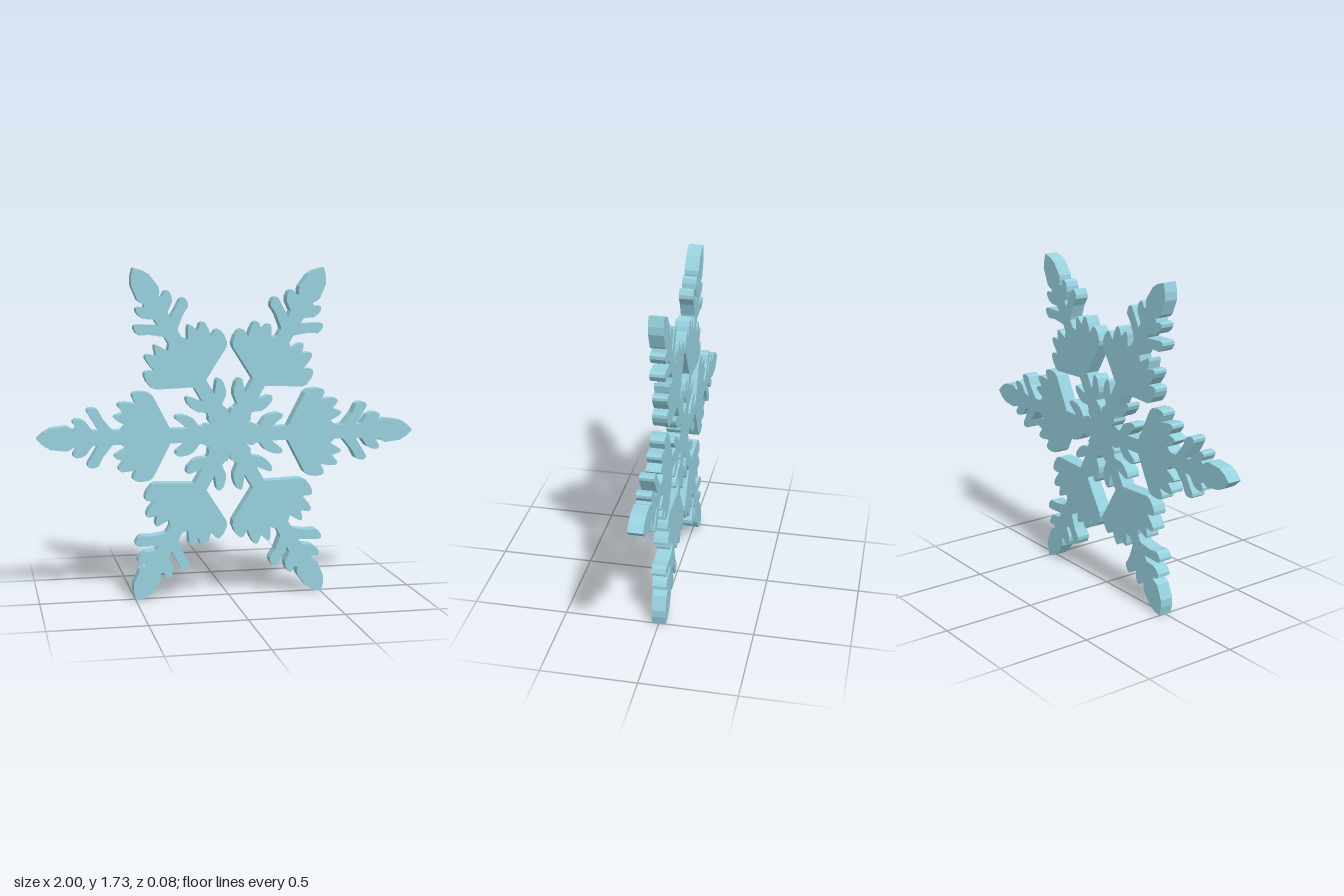
import * as THREE from 'three';

// Upper half outline of one arm as [distance along arm, half width], tip to hub
const HALF_ARM = [
  // pointed tip leaf
  [0.965, 0.034], [0.93, 0.054], [0.85, 0.064], [0.828, 0.055], [0.812, 0.042],
  // small tooth
  [0.8, 0.055], [0.816, 0.078], [0.816, 0.092], [0.8, 0.1], [0.775, 0.097], [0.75, 0.085],
  [0.718, 0.04], [0.685, 0.037],
  // long side branch
  [0.742, 0.13], [0.743, 0.145], [0.732, 0.154], [0.705, 0.154], [0.687, 0.145],
  [0.665, 0.1], [0.62, 0.045], [0.61, 0.037], [0.57, 0.037],
  // toothed plate
  [0.545, 0.06], [0.595, 0.09], [0.605, 0.102], [0.595, 0.112], [0.555, 0.125],
  [0.582, 0.158], [0.582, 0.172], [0.57, 0.18], [0.54, 0.18], [0.492, 0.172],
  [0.51, 0.208], [0.509, 0.222], [0.495, 0.231], [0.465, 0.235], [0.425, 0.229], [0.405, 0.213],
  [0.313, 0.037], [0.225, 0.037],
  // inner leaf
  [0.28, 0.082], [0.286, 0.095], [0.277, 0.105], [0.255, 0.109], [0.215, 0.1], [0.19, 0.086],
  [0.16, 0.045], [0.138, 0.048], [0.125, 0.058], [0.11, 0.058],
];

const ARMS = 6;
const DEPTH = 0.075;

export function createModel() {
  const model = new THREE.Group();
  model.name = 'snowflake';
  const ice = new THREE.MeshStandardMaterial({ color: 0x97d0de });
  ice.name = 'ice blue';

  // Mirror the half arm, then repeat it around the hub as one closed outline
  const arm = [
    ...[...HALF_ARM].reverse().map(([u, v]) => [u, -v]),
    [1, 0],
    ...HALF_ARM,
    [0.088, 0.051], // notch between neighbouring arms
  ];
  const outline = [];
  for (let i = 0; i < ARMS; i++) {
    const angle = (i * Math.PI * 2) / ARMS;
    for (const [u, v] of arm) {
      outline.push(new THREE.Vector2(u, v).rotateAround(new THREE.Vector2(), angle));
    }
  }

  // Flat crystal plate standing on two tips
  const geometry = new THREE.ExtrudeGeometry(new THREE.Shape(outline), {
    depth: DEPTH,
    bevelEnabled: false,
  });
  geometry.translate(0, Math.sin(Math.PI / 3), -DEPTH / 2);
  const crystal = new THREE.Mesh(geometry, ice);
  crystal.name = 'crystalPlate';
  model.add(crystal);
  return model;
}
